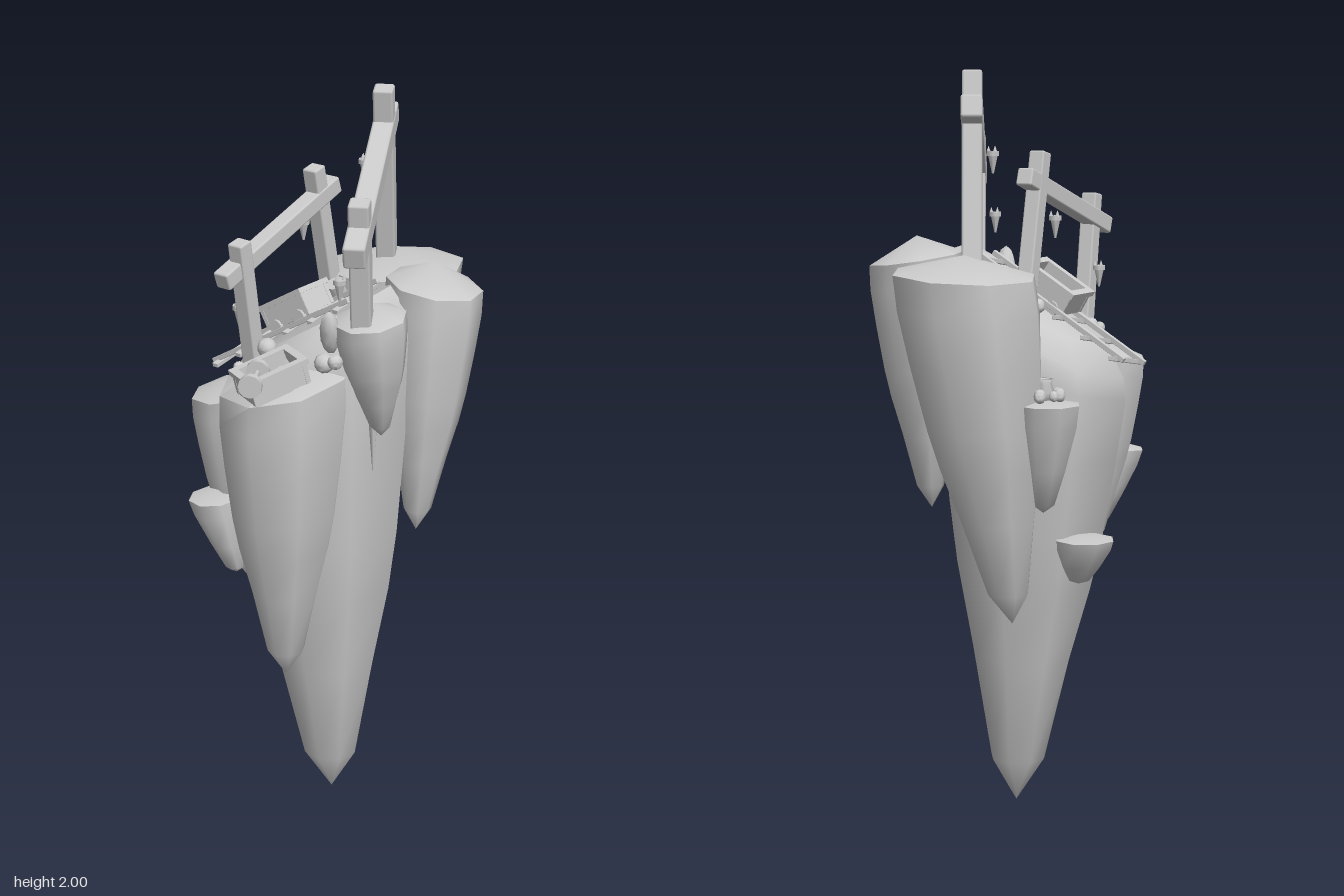
import * as THREE from 'three';
import { toCreasedNormals } from 'three/addons/utils/BufferGeometryUtils.js';
import { RoundedBoxGeometry } from 'three/addons/geometries/RoundedBoxGeometry.js';

const mat = new THREE.MeshStandardMaterial({ color: 0xcccccc });
const V = (a) => new THREE.Vector3(...a);

function add(parent, geo, name, pos = [0, 0, 0], rot = [0, 0, 0]) {
  const m = new THREE.Mesh(geo, mat);
  m.name = name;
  m.position.set(...pos);
  m.rotation.set(...rot);
  parent.add(m);
  return m;
}

// Fractions along a hanging rock, tip to shoulder: [height, radius]
const PROFILE = [[0, 0], [0.09, 0.29], [0.3, 0.52], [0.46, 0.72], [0.57, 0.82], [0.75, 0.93], [0.9, 1], [1, 0.99]];
const ROUNDED = [...PROFILE.slice(0, -1), [0.95, 0.97], [1, 0.78]];
const LEDGE = [[0, 0], [0.08, 0.35], [0.4, 0.65], [0.8, 0.95], [1, 1]];

// Eight-sided rock tapering to a tip, with a tilted and slightly domed top
function rock(parent, name, top, r, tip, { tilt = [0, 0], dome = 0.03, profile = PROFILE, turn = Math.PI / 8 } = {}) {
  const n = 8, pos = [], idx = [];
  const rings = [...profile, [1, 0]];
  rings.forEach(([t, f], k) => {
    const c = V(tip).lerp(V(top), t);
    for (let i = 0; i < n; i++) {
      const a = turn + i / n * Math.PI * 2;
      const dx = Math.cos(a) * r * f, dz = Math.sin(a) * r * f;
      const lift = (tilt[0] * dx + tilt[1] * dz) * t * t + (k === rings.length - 1 ? dome : 0);
      pos.push(c.x + dx, c.y + lift, c.z + dz);
    }
  });
  for (let k = 0; k < rings.length - 1; k++) {
    for (let i = 0; i < n; i++) {
      const a = k * n + i, b = k * n + (i + 1) % n;
      if (k > 0) idx.push(a, a + n, b);
      if (k < rings.length - 2) idx.push(b, a + n, b + n);
    }
  }
  const g = new THREE.BufferGeometry();
  g.setAttribute('position', new THREE.Float32BufferAttribute(pos, 3));
  g.setIndex(idx);
  return add(parent, toCreasedNormals(g, 0.95), name);
}

// Timber between two points
function beam(parent, name, a, b, w, h, up = [0, 1, 0]) {
  const A = V(a), B = V(b);
  const m = add(parent, new RoundedBoxGeometry(w, h, A.distanceTo(B), 1, Math.min(w, h) * 0.12), name);
  m.position.copy(A).add(B).multiplyScalar(0.5);
  m.up.set(...up);
  m.lookAt(B);
  return m;
}

// Open mine cart, length along local z
function cart(parent, name, pos, dir, wheels) {
  const g = new THREE.Group();
  g.name = name;
  const L = 0.17, W = 0.118, H = 0.06;
  add(g, new THREE.BoxGeometry(W - 0.02, 0.01, L - 0.02), 'cartFloor', [0, -H / 2, 0]);
  for (const s of [-1, 1]) {
    add(g, new THREE.BoxGeometry(0.012, H, L - 0.01), 'cartSide', [s * (W / 2 - 0.012), 0, 0]);
    add(g, new THREE.BoxGeometry(W - 0.01, H, 0.012), 'cartEnd', [0, 0, s * (L / 2 - 0.012)]);
    add(g, new THREE.BoxGeometry(0.02, 0.014, L), 'cartRim', [s * (W / 2 - 0.01), H / 2, 0]);
    add(g, new THREE.BoxGeometry(W, 0.014, 0.02), 'cartRim', [0, H / 2, s * (L / 2 - 0.01)]);
    if (wheels) for (const e of [-1, 1])
      add(g, new THREE.CylinderGeometry(0.02, 0.02, 0.012, 10), 'cartWheel', [s * (W / 2 - 0.005), -H / 2, e * 0.045], [0, 0, Math.PI / 2]);
  }
  g.position.set(...pos);
  g.lookAt(V(pos).add(V(dir)));
  parent.add(g);
}

// Small hanging lantern, narrowing downwards
function lantern(parent, pos) {
  const g = new THREE.Group();
  g.name = 'lantern';
  g.position.set(...pos);
  add(g, new THREE.CylinderGeometry(0.015, 0.003, 0.05, 6), 'lanternBody', [0, -0.008, 0]);
  add(g, new THREE.CylinderGeometry(0.018, 0.018, 0.012, 6), 'lanternCap', [0, 0.018, 0]);
  for (let i = 0; i < 3; i++) {
    const a = i * 2.1;
    add(g, new THREE.ConeGeometry(0.006, 0.016, 5), 'lanternProng', [Math.cos(a) * 0.011, 0.03, Math.sin(a) * 0.011]);
  }
  parent.add(g);
}

// Rounded stone
function stone(parent, pos, r, stretch = 1) {
  const m = add(parent, toCreasedNormals(new THREE.IcosahedronGeometry(r, 1), 0.7), 'stone', pos, [0.3, r * 90, 0]);
  m.scale.y = stretch;
}

export function createModel() {
  const root = new THREE.Group();
  root.name = 'floatingMine';

  // Hanging rocks
  const rocks = new THREE.Group();
  rocks.name = 'rocks';
  root.add(rocks);
  rock(rocks, 'mainRock', [-0.06, 1.405, 0.005], 0.264, [-0.02, 0, 0.04], { tilt: [0.56, 0.2], dome: 0.015, profile: ROUNDED, turn: 0.3 });
  rock(rocks, 'backRock', [0.112, 1.485, -0.235], 0.192, [-0.01, 0.565, -0.2], { tilt: [0.04, 0.05], dome: 0.05, turn: 0.43 });
  rock(rocks, 'sideRock', [0.243, 1.51, -0.02], 0.127, [0.21, 0.83, 0.035], { tilt: [-0.15, 0], dome: 0.06, turn: 0.65 });
  rock(rocks, 'frontPostRock', [0.108, 1.495, 0.22], 0.094, [0.135, 1.17, 0.2], { tilt: [0.1, -0.1], dome: 0.04 });
  rock(rocks, 'frontRock', [-0.112, 1.315, 0.192], 0.175, [-0.12, 0.45, 0.2], { tilt: [0.2, -0.08], dome: 0.075 });
  rock(rocks, 'leftRock', [-0.262, 1.25, 0.13], 0.112, [-0.23, 0.7, 0.13], { tilt: [0.2, 0] });
  rock(rocks, 'lowerLedge', [-0.302, 0.97, 0.2], 0.072, [-0.25, 0.75, 0.2], { tilt: [0.1, 0], profile: LEDGE, dome: 0.015 });
  rock(rocks, 'backLedge', [-0.2, 0.785, -0.165], 0.08, [-0.185, 0.66, -0.145], { profile: LEDGE, dome: 0.01 });
  rock(rocks, 'rearLedge', [-0.1, 1.16, -0.28], 0.086, [-0.09, 0.87, -0.24], { profile: LEDGE, dome: 0.015 });
  add(rocks, new THREE.ConeGeometry(0.016, 0.2, 6), 'rockSpur', [0.113, 1.15, 0.192], [Math.PI, 0, 0]);

  // Large gate
  const gates = new THREE.Group();
  gates.name = 'gates';
  root.add(gates);
  const gx = 0.093, side = [1, 0, 0];
  beam(gates, 'largePost', [gx, 1.45, -0.222], [gx, 1.995, -0.118], 0.052, 0.052, side);
  beam(gates, 'largePost', [gx, 1.42, 0.25], [gx, 1.825, 0.318], 0.052, 0.052, side);
  beam(gates, 'largeBeam', [gx, 1.71, 0.408], [gx, 1.91, -0.218], 0.056, 0.06);

  // Small gate
  const across = [0.88, 0, 0.47];
  beam(gates, 'smallPost', [-0.2, 1.28, 0.135], [-0.225, 1.67, 0.198], 0.044, 0.044, across);
  beam(gates, 'smallPost', [-0.043, 1.4, -0.15], [-0.082, 1.79, -0.078], 0.044, 0.044, across);
  beam(gates, 'smallBeam', [-0.262, 1.58, 0.247], [-0.04, 1.73, -0.15], 0.046, 0.046);

  // Track running down the tilted top
  const track = new THREE.Group();
  track.name = 'track';
  root.add(track);
  const onTrack = (along, out, lift = 0) => {
    const x = -0.11 + along * 0.87 - out * 0.5, z = -0.01 + along * 0.5 + out * 0.87;
    return [x, 1.41 + 0.6 * (x + 0.06) + 0.15 * z + lift, z];
  };
  for (const s of [-1, 1]) beam(track, 'rail', onTrack(-0.25, s * 0.06, 0.02), onTrack(0.21, s * 0.06, 0.02), 0.012, 0.014);
  for (let i = 0; i < 6; i++) {
    const t = -0.225 + i * 0.082;
    beam(track, 'sleeper', onTrack(t, -0.085, 0.008), onTrack(t, 0.085, 0.008), 0.018, 0.012);
  }
  const a = V(onTrack(0, 0)), b = V(onTrack(1, 0));
  cart(root, 'trackCart', onTrack(-0.01, 0, 0.06), b.sub(a).toArray(), true);

  // Wrecked cart and its loose axle
  cart(root, 'wreckedCart', [-0.13, 1.355, 0.3], [0.8, 0.25, -0.6], false);
  const axle = new THREE.Group();
  axle.name = 'looseAxle';
  axle.position.set(-0.162, 1.372, 0.358);
  add(axle, new THREE.CylinderGeometry(0.007, 0.007, 0.1, 8), 'axleRod', [0, 0, 0], [Math.PI / 2, 0, 0]);
  for (const s of [-1, 1])
    add(axle, new THREE.CylinderGeometry(0.03, 0.03, 0.018, 12), 'axleWheel', [0, 0, s * 0.05], [Math.PI / 2, 0, 0]);
  root.add(axle);

  // Lanterns beside the gates
  for (const p of [[0.04, 1.77, -0.16], [0.04, 1.59, 0.28], [-0.12, 1.605, -0.14], [-0.243, 1.455, 0.13]]) lantern(root, p);

  // Loose stones, pointed stone, barrel and pot
  stone(root, [-0.16, 1.39, 0.19], 0.026);
  stone(root, [-0.222, 1.32, 0.105], 0.02);
  stone(root, [-0.245, 1.31, 0.135], 0.016);
  stone(root, [0.0, 1.39, 0.275], 0.026);
  stone(root, [0.03, 1.4, 0.29], 0.02);
  stone(root, [0.01, 1.46, 0.245], 0.026, 2.5);
  stone(root, [-0.075, 1.4, -0.175], 0.02);
  add(root, new THREE.CylinderGeometry(0.024, 0.024, 0.06, 8), 'barrel', [-0.02, 1.45, -0.09], [0.4, 0, 0.3]);
  const pot = [[0, 0], [0.018, 0], [0.026, 0.025], [0.018, 0.05], [0.024, 0.06], [0.015, 0.06], [0, 0.02]].map((p) => new THREE.Vector2(...p));
  add(root, new THREE.LatheGeometry(pot, 8), 'pot', [-0.092, 1.165, -0.28]);
  for (const [x, z, r] of [[-0.13, -0.29, 0.016], [-0.125, -0.262, 0.014], [-0.08, -0.318, 0.016], [-0.115, -0.315, 0.012]])
    stone(root, [x, 1.185, z], r, 1.2);

  return root;
}
